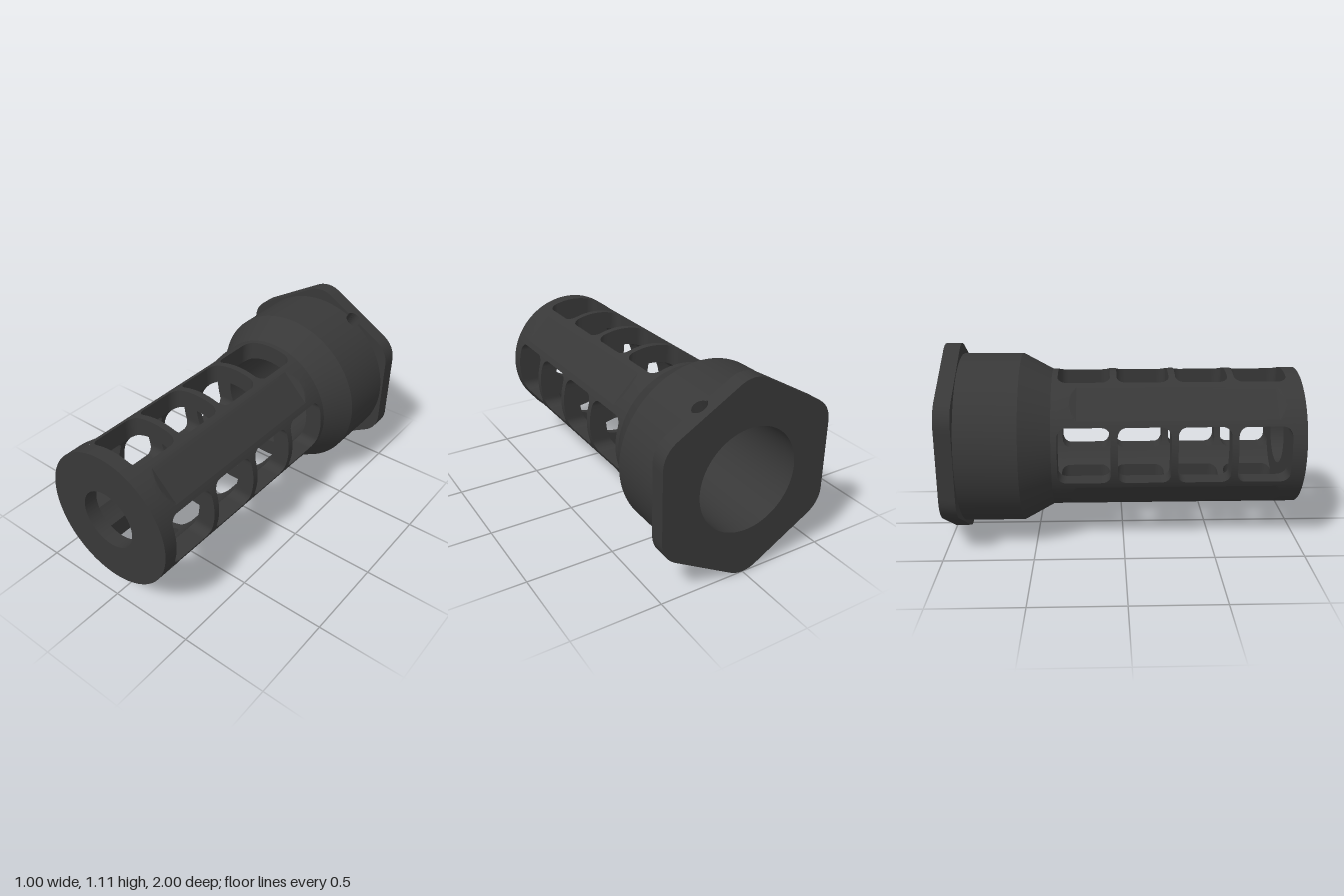
import * as THREE from 'three';
import { toCreasedNormals } from 'three/addons/utils/BufferGeometryUtils.js';

const CY = 0.556;              // height of the long axis
const BARREL = 0.395, BORE = 0.292;
const PORT_HALF = 0.16, PORT_LEN = 0.293, PORT_STEP = 0.331, PORT_START = -0.367, FILLET = 0.05;
const BARREL_END = PORT_START + 3 * PORT_STEP + PORT_LEN;
const FLANGE_Z = -0.91, HOLE_R = 0.045, HOLE_ANGLE = Math.PI / 3;
const rad = THREE.MathUtils.degToRad;

// point at radius r and angle t around the long axis
const polar = (r, t, z) => [r * Math.cos(t), CY + r * Math.sin(t), z];

// skin a row of closed cross-sections
function sweep(sections) {
  const pos = [];
  for (let i = 0; i < sections.length - 1; i++) {
    const s = sections[i], n = sections[i + 1];
    for (let j = 0; j < s.length; j++) {
      const k = (j + 1) % s.length;
      pos.push(...s[j], ...n[j], ...n[k], ...s[j], ...n[k], ...s[k]);
    }
  }
  const g = new THREE.BufferGeometry();
  g.setAttribute('position', new THREE.Float32BufferAttribute(pos, 3));
  return toCreasedNormals(g, rad(15));
}

// angles round the full circle, finer at the cross hole
const holeHalf = HOLE_R / 0.49;
const angles = [];
for (let a = 0; a <= 360; a += 2.5) {
  if (Math.abs(rad(a) - HOLE_ANGLE) > holeHalf) angles.push(rad(a));
}
for (let i = 0; i <= 16; i++) angles.push(HOLE_ANGLE - holeHalf * Math.cos(Math.PI * i / 16));
angles.sort((a, b) => a - b);

// ring swept round the axis; profile(t) gives [radius, z] pairs, rear to front on the outside
const ring = (profile) => sweep(angles.map((t) => profile(t).map(([r, z]) => polar(r, t, z))));

// half-height of the round cross hole at angle t
function notch(t) {
  const u = (t - HOLE_ANGLE) / holeHalf;
  return Math.abs(u) < 1 ? HOLE_R * Math.sqrt(1 - u * u) : 0;
}

// radius of the hexagon with rounded corners
function hexRadius(t) {
  const sixth = Math.PI / 3, round = 0.154;
  const a = Math.abs(t - Math.round(t / sixth) * sixth);
  if (0.5 * Math.tan(a) < 0.2) return 0.5 / Math.cos(a);
  const d = (0.5 - round) / Math.cos(sixth / 2), b = sixth / 2 - a;
  return d * Math.cos(b) + Math.sqrt(round ** 2 - (d * Math.sin(b)) ** 2);
}

// bridge across one port column; rearFillet and frontFillet flare its edges into the posts
function rib(z0, z1, rearFillet, frontFillet, centre) {
  const us = [];
  for (let i = 0; i <= 8; i++) us.push(FILLET * (1 - Math.cos(Math.PI / 2 * i / 8)) - PORT_HALF);
  for (let i = 1; i < 8; i++) us.push((PORT_HALF - FILLET) * (i / 4 - 1));
  for (let i = 8; i >= 0; i--) us.push(PORT_HALF - FILLET * (1 - Math.cos(Math.PI / 2 * i / 8)));
  return sweep(us.map((u) => {
    const e = Math.max(0, Math.abs(u) - PORT_HALF + FILLET);
    const f = FILLET - Math.sqrt(Math.max(0, FILLET ** 2 - e * e));
    const a = z0 - (rearFillet ? f : 0), b = z1 + (frontFillet ? f : 0);
    return [[BORE, a], [BARREL, a], [BARREL, b], [BORE, b]]
      .map(([r, z]) => polar(r, centre + Math.asin(u / r), z));
  }));
}

// lengthwise post between port columns, with a shallow flat milled on the outside
function post(centre) {
  const outer = Math.PI / 4 - Math.asin(PORT_HALF / BARREL);
  const inner = Math.PI / 4 - Math.asin(PORT_HALF / BORE);
  const cut = BARREL - 0.38, rows = [[PORT_START, 0]];
  for (let i = 0; i <= 6; i++) rows.push([-0.3 + 0.04 * i / 6, i / 6]);
  for (let i = 6; i >= 0; i--) rows.push([0.89 - 0.04 * i / 6, i / 6]);
  rows.push([BARREL_END, 0]);
  return sweep(rows.map(([z, k]) => {
    const pts = [];
    for (let i = 0; i <= 24; i++) {
      const p = outer * (1 - i / 12);
      pts.push(polar(Math.min(BARREL, (BARREL - cut * k) / Math.cos(p)), centre + p, z));
    }
    for (let i = 0; i <= 6; i++) pts.push(polar(BORE, centre + inner * (i / 3 - 1), z));
    return pts;
  }));
}

export function createModel() {
  const model = new THREE.Group();
  model.name = 'portedBarrel';
  const metal = new THREE.MeshStandardMaterial({ color: 0x383838 });
  metal.name = 'darkMetal';
  const add = (name, geometry) => {
    const mesh = new THREE.Mesh(geometry, metal);
    mesh.name = name;
    model.add(mesh);
  };

  // hexagonal flange and rear sleeve, sharing the cross hole
  add('hexFlange', ring((t) => {
    const h = hexRadius(t), z = FLANGE_Z - notch(t);
    return [[BORE, -1], [h, -1], [h, z], [BORE, z]];
  }));
  add('rearSleeve', ring((t) => {
    const z = FLANGE_Z + notch(t);
    return [[BORE, z], [0.487, z], [0.487, -0.57], [BARREL, -0.4], [BARREL, PORT_START], [BORE, PORT_START]];
  }));

  // front end plate with the exit hole
  add('frontPlate', ring(() => [[0.17, BARREL_END], [BARREL, BARREL_END], [BARREL, 1], [0.17, 1]]));

  // four posts, with ribs that frame four ports on each side
  for (let q = 0; q < 4; q++) {
    const side = q * Math.PI / 2;
    add('post', post(side + Math.PI / 4));
    add('rearPortEdge', rib(PORT_START - 0.013, PORT_START, false, true, side));
    add('frontPortEdge', rib(BARREL_END, BARREL_END + 0.013, true, false, side));
    for (let i = 0; i < 3; i++) {
      const z = PORT_START + i * PORT_STEP;
      add('portRib', rib(z + PORT_LEN, z + PORT_STEP, true, true, side));
    }
  }
  return model;
}
